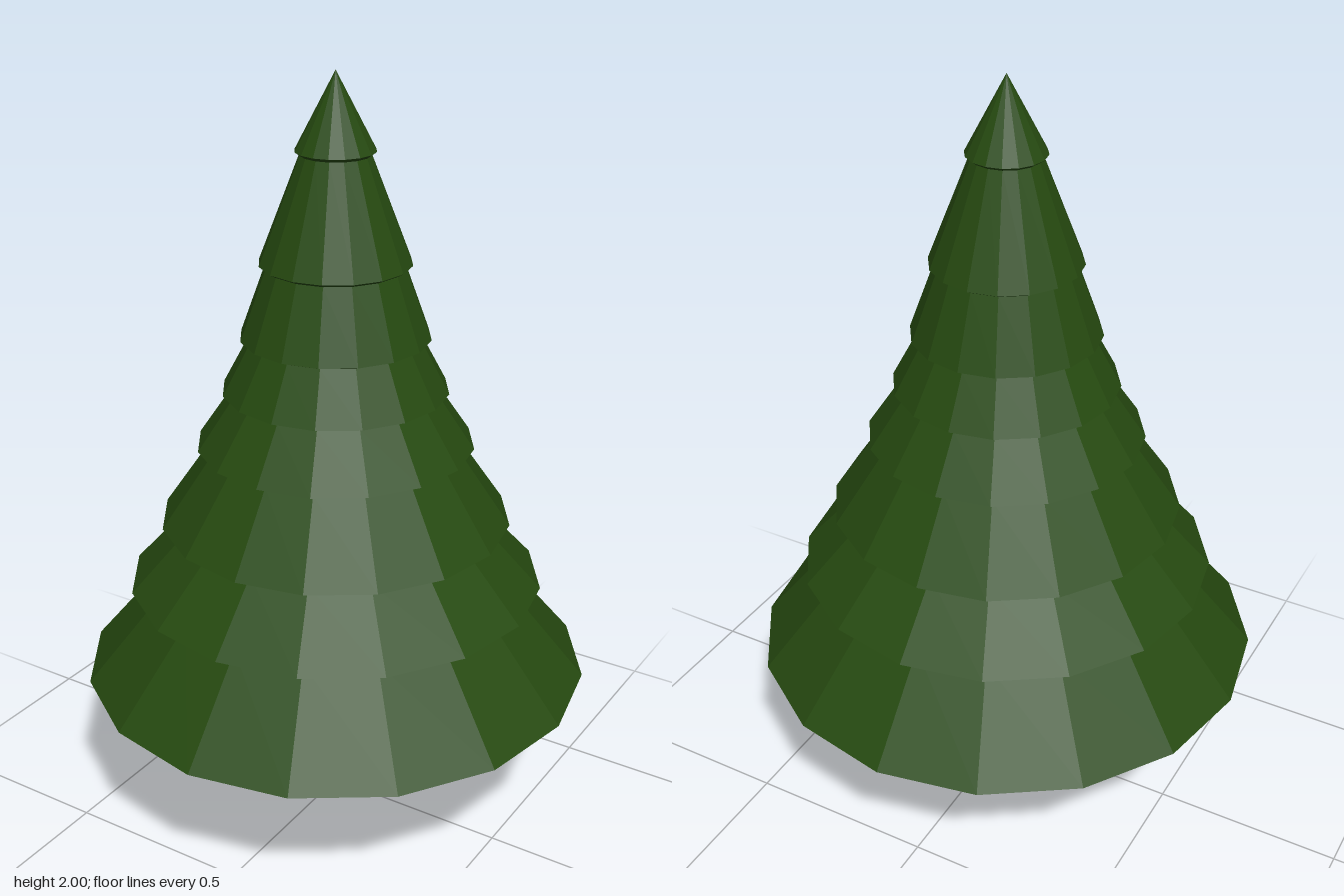
import * as THREE from 'three';

const SIDES = 16;

// Faceted solid of revolution from a bottom-to-top [radius, y] profile
function facetedLathe(profile) {
  const points = profile.map(([r, y]) => new THREE.Vector2(r, y));
  const geometry = new THREE.LatheGeometry(points, SIDES).toNonIndexed();
  geometry.computeVertexNormals();
  return geometry;
}

export function createModel() {
  const tree = new THREE.Group();
  tree.name = 'pineTree';

  const needles = new THREE.MeshStandardMaterial({ color: 0x264a10 });
  needles.name = 'needle green';
  const bark = new THREE.MeshStandardMaterial({ color: 0x42250f });
  bark.name = 'bark brown';

  // Trunk
  const trunk = new THREE.Mesh(facetedLathe([[0, 0], [0.084, 0], [0.084, 0.43]]), bark);
  trunk.name = 'trunk';
  tree.add(trunk);

  // Foliage tiers: rim height, rim radius, top radius
  const tiers = [
    [0.42, 0.67, 0.465],
    [0.673, 0.545, 0.39],
    [0.85, 0.457, 0.32],
    [1.058, 0.358, 0.265],
    [1.204, 0.29, 0.22],
    [1.344, 0.242, 0.176],
    [1.534, 0.192, 0.088],
    [1.81, 0.1, 0],
  ];
  tiers.forEach(([y, rim, top], i) => {
    const topY = i < tiers.length - 1 ? tiers[i + 1][0] - 0.009 : 2;
    // The underside runs in to meet the tier below, dipping slightly
    const inner = i ? [tiers[i - 1][2], y - 0.009] : [0, y];
    const tier = new THREE.Mesh(facetedLathe([inner, [rim, y], [top, topY]]), needles);
    tier.name = `foliageTier${i + 1}`;
    tree.add(tier);
  });

  return tree;
}
